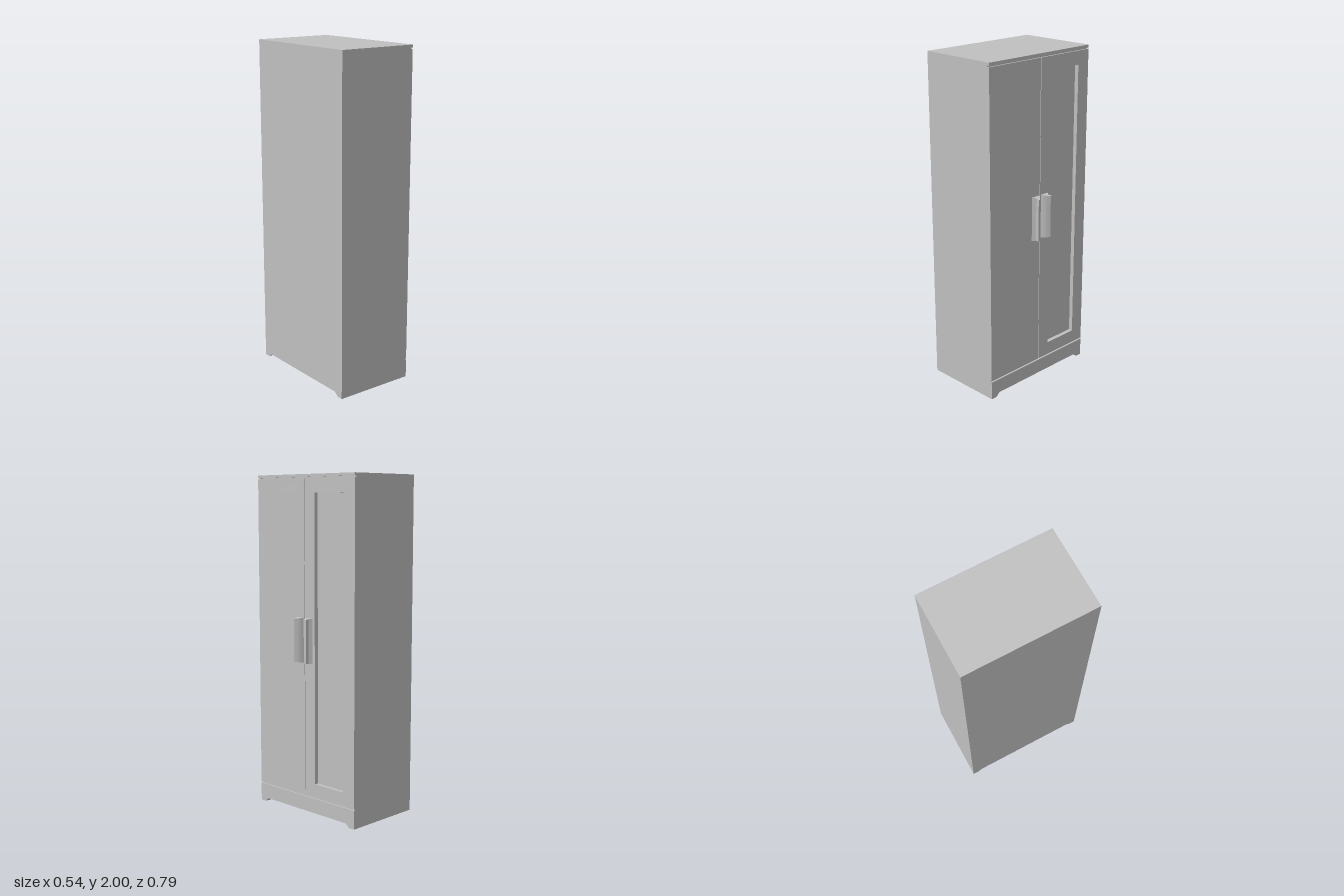
import * as THREE from 'three';

const BACK = -0.27, FACE = 0.225, RECESS = 0.2, HALF = 0.395;

// Extrude an outline drawn in (-z, y) along x, from x0 to x1
function slab(points, x0, x1, hole) {
  const shape = new THREE.Shape(points.map(([u, v]) => new THREE.Vector2(u, v)));
  if (hole) shape.holes.push(new THREE.Path(hole.map(([u, v]) => new THREE.Vector2(u, v))));
  const geo = new THREE.ExtrudeGeometry(shape, { depth: x1 - x0, bevelEnabled: false });
  geo.rotateY(Math.PI / 2);
  geo.translate(x0, 0, 0);
  return geo;
}

const rect = (u0, u1, v0, v1) => [[u0, v0], [u1, v0], [u1, v1], [u0, v1]];

// Base outline with two feet and a raised underside, closed at height `top`
const footed = (top) => [
  [-HALF, 0], [-0.357, 0], [-0.33, 0.022], [0.33, 0.022], [0.357, 0], [HALF, 0],
  [HALF, top], [-HALF, top],
];

// Vertical pull with a hooked section in (x, z), ends tapering towards the tip
function handleGeometry(side) {
  const section = [
    [FACE, 0.009], [0.24, 0.017], [0.252, 0.026], [0.262, 0.037], [0.269, 0.046],
    [0.269, 0.055], [0.245, 0.05], [FACE, 0.065],
  ];
  const shape = new THREE.Shape(section.map(([x, z]) => new THREE.Vector2(x, -side * z)));
  const geo = new THREE.ExtrudeGeometry(shape, { depth: 0.266, bevelEnabled: false });
  geo.rotateX(-Math.PI / 2);
  geo.translate(0, -0.133, 0);
  const p = geo.attributes.position;
  for (let i = 0; i < p.count; i++) {
    const t = (p.getX(i) - FACE) / (0.269 - FACE);
    p.setY(i, p.getY(i) * (1 - 0.05 * t));
  }
  geo.computeVertexNormals();
  geo.translate(0, 1.048, 0);
  return geo;
}

export function createModel() {
  const group = new THREE.Group();
  group.name = 'wardrobe';
  const grey = new THREE.MeshStandardMaterial({ color: 0xc0c0c0 });
  grey.name = 'grey';
  const add = (name, geo) => {
    const mesh = new THREE.Mesh(geo, grey);
    mesh.name = name;
    group.add(mesh);
  };

  // Cabinet body, plinth and top rail
  add('carcass', slab(footed(2), BACK, RECESS));
  add('plinth', slab(footed(0.111), RECESS, FACE));
  add('topRail', slab(rect(-HALF, HALF, 1.984, 2), RECESS, FACE));

  // Floors of the shadow gaps around the doors
  add('lowerGap', slab(rect(-HALF, HALF, 0.111, 0.119), RECESS, 0.215));
  add('upperGap', slab(rect(-HALF, HALF, 1.976, 1.984), RECESS, 0.215));
  add('centreGap', slab(rect(-0.002, 0.002, 0.119, 1.976), RECESS, 0.215));

  // Pair of framed doors with sunk panels, and their pulls
  for (const side of [1, -1]) {
    const label = side > 0 ? 'left' : 'right';
    const s = -side;
    add(label + 'Door', slab(
      rect(s * 0.002, s * HALF, 0.119, 1.976), RECESS, FACE,
      rect(s * 0.082, s * 0.31, 0.2, 1.895)));
    add(label + 'Handle', handleGeometry(side));
  }
  return group;
}
